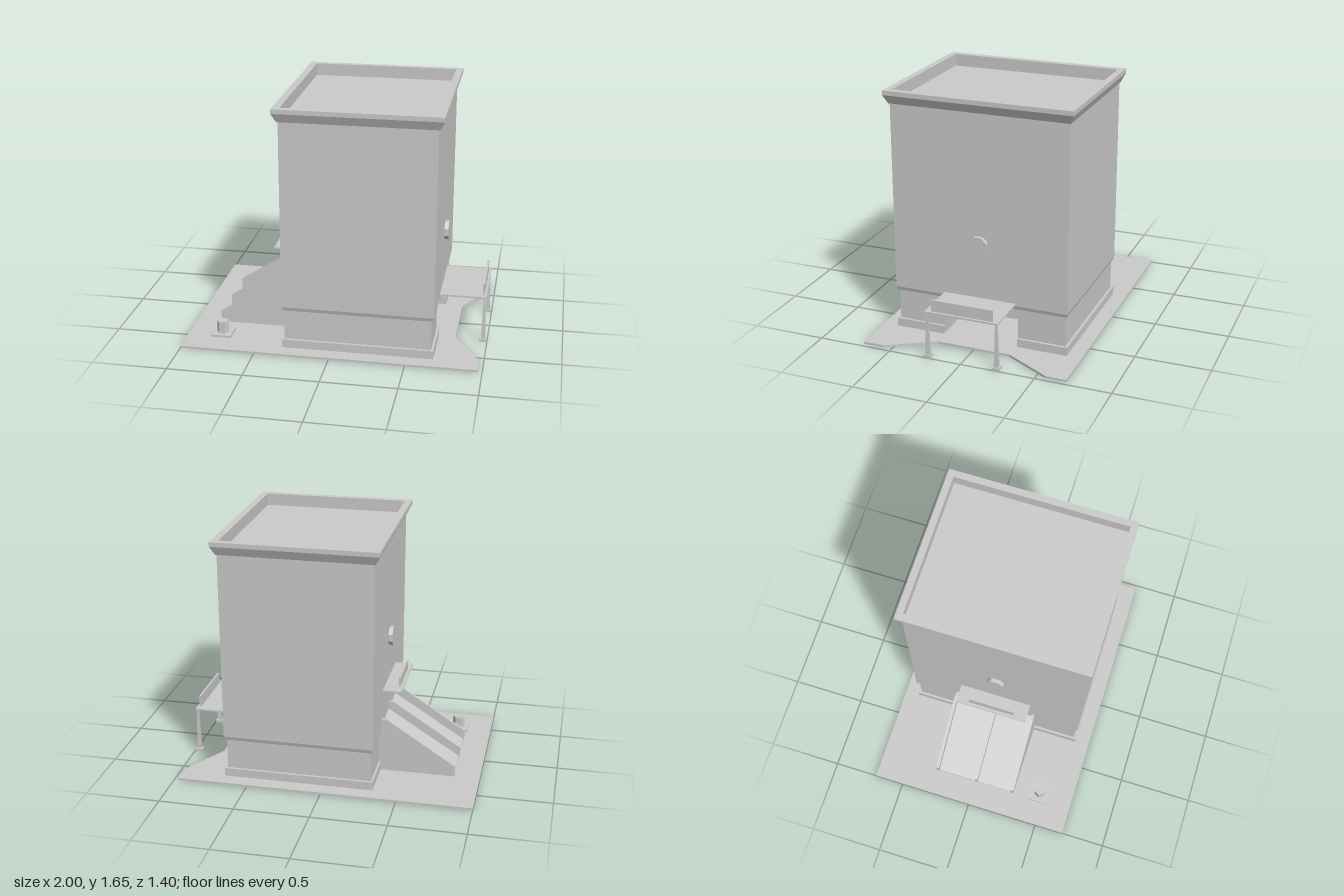
import * as THREE from 'three';

const material = new THREE.MeshStandardMaterial({ color: 0xcccccc, flatShading: true });

function add(parent, name, geometry) {
  const mesh = new THREE.Mesh(geometry, material);
  mesh.name = name;
  parent.add(mesh);
  return mesh;
}

// Box given by its minimum and maximum corners
function box(parent, name, [x0, y0, z0], [x1, y1, z1]) {
  const mesh = add(parent, name, new THREE.BoxGeometry(x1 - x0, y1 - y0, z1 - z0));
  mesh.position.set((x0 + x1) / 2, (y0 + y1) / 2, (z0 + z1) / 2);
  return mesh;
}

function extrude(points, depth) {
  const shape = new THREE.Shape(points.map(([x, y]) => new THREE.Vector2(x, y)));
  return new THREE.ExtrudeGeometry(shape, { depth, bevelEnabled: false });
}

// Floor plan of (x, z) points raised from y0 to y1; plans are symmetric in z
function plan(parent, name, points, y0, y1) {
  const geometry = extrude(points, y1 - y0).rotateX(-Math.PI / 2).translate(0, y0, 0);
  return add(parent, name, geometry);
}

// Side profile of (x, y) points spanning z0 to z1
function profile(parent, name, points, z0, z1) {
  return add(parent, name, extrude(points, z1 - z0).translate(0, 0, z0));
}

// Rectangular rings [x0, x1, half depth, y] joined in order, with capped ends
function loft(parent, name, rings) {
  const positions = [];
  const index = [];
  for (const [x0, x1, z, y] of rings) {
    positions.push(x0, y, z, x1, y, z, x1, y, -z, x0, y, -z);
  }
  for (let r = 0; r < rings.length - 1; r++) {
    for (let i = 0; i < 4; i++) {
      const a = r * 4 + i;
      const b = r * 4 + (i + 1) % 4;
      index.push(a, b, b + 4, a, b + 4, a + 4);
    }
  }
  const t = (rings.length - 1) * 4;
  index.push(0, 2, 1, 0, 3, 2, t, t + 1, t + 2, t, t + 2, t + 3);
  const geometry = new THREE.BufferGeometry();
  geometry.setAttribute('position', new THREE.Float32BufferAttribute(positions, 3));
  geometry.setIndex(index);
  const flat = geometry.toNonIndexed();
  flat.computeVertexNormals();
  return add(parent, name, flat);
}

// Rectangle with an entrance recess in its +x side
function recessedPlan(x0, x1, z) {
  const gap = 0.26, back = 0.3;
  return [[x0, -z], [x1, -z], [x1, -gap], [back, -gap], [back, gap], [x1, gap], [x1, z], [x0, z]];
}

// Octagonal disc with its axis along x
function wallDisc(parent, name, x, y) {
  const radius = 0.06 / Math.cos(Math.PI / 8);
  const geometry = new THREE.CylinderGeometry(radius, radius, 0.03, 8);
  geometry.rotateY(Math.PI / 8).rotateZ(Math.PI / 2);
  add(parent, name, geometry).position.set(x, y, 0);
}

export function createModel() {
  const model = new THREE.Group();
  model.name = 'building';

  // Ground slab with a notch in front of the entrance
  plan(model, 'groundSlab', [
    [-1, -0.7], [0.97, -0.7], [0.97, -0.56], [0.79, -0.25],
    [0.79, 0.25], [0.97, 0.56], [0.97, 0.7], [-1, 0.7],
  ], 0, 0.015);

  // Plinth, ground floor and main body
  plan(model, 'plinth', recessedPlan(-0.33, 0.675, 0.6), 0.015, 0.072);
  plan(model, 'groundFloor', recessedPlan(-0.315, 0.658, 0.582), 0.072, 0.28);
  loft(model, 'mainBody', [
    [-0.322, 0.667, 0.592, 0.28],
    [-0.33, 0.675, 0.6, 0.305],
    [-0.33, 0.675, 0.6, 1.57],
  ]);

  // Flared cornice with a sunken roof
  loft(model, 'corniceAndRoof', [
    [-0.338, 0.683, 0.607, 1.567],
    [-0.368, 0.712, 0.633, 1.625],
    [-0.368, 0.712, 0.633, 1.655],
    [-0.32, 0.665, 0.588, 1.655],
    [-0.32, 0.665, 0.588, 1.572],
  ]);

  // Entrance canopy with its upright board and two tapered posts
  const canopy = new THREE.Group();
  canopy.name = 'entranceCanopy';
  model.add(canopy);
  box(canopy, 'canopyRoof', [0.67, 0.31, -0.25], [0.985, 0.322, 0.25]);
  box(canopy, 'canopyBoard', [0.957, 0.322, -0.21], [0.97, 0.4, 0.21]);
  for (const side of [-1, 1]) {
    const z = side * 0.237;
    const post = new THREE.CylinderGeometry(0.009, 0.02, 0.295, 4).rotateY(Math.PI / 4);
    add(canopy, 'canopyPost', post).position.set(0.972, 0.1625, z);
    box(canopy, 'postFoot', [0.948, 0, z - 0.024], [0.996, 0.018, z + 0.024]);
  }

  // Twin chute between three fins
  const chute = new THREE.Group();
  chute.name = 'chute';
  model.add(chute);
  profile(chute, 'chuteSlope', [[-0.825, 0.015], [-0.31, 0.015], [-0.31, 0.35], [-0.825, 0.025]], -0.28, 0.28);
  for (const z of [-0.285, 0.005, 0.275]) {
    profile(chute, 'chuteFin', [
      [-0.83, 0.015], [-0.31, 0.015], [-0.31, 0.39], [-0.365, 0.39], [-0.83, 0.09],
    ], z - 0.01, z + 0.01);
  }

  // Shelf and board above the chute
  box(model, 'shelf', [-0.455, 0.57, -0.25], [-0.325, 0.58, 0.25]);
  box(model, 'shelfBoard', [-0.434, 0.58, -0.16], [-0.424, 0.645, 0.16]);

  // Octagonal discs on both end walls
  wallDisc(model, 'rightDisc', 0.687, 0.69);
  wallDisc(model, 'leftDisc', -0.342, 0.88);

  // Small hexagonal post on a square pad
  box(model, 'postPad', [-0.838, 0.015, 0.395], [-0.7, 0.03, 0.533]);
  const hexPost = new THREE.CylinderGeometry(0.041, 0.041, 0.08, 6).rotateY(Math.PI / 6);
  add(model, 'hexPost', hexPost).position.set(-0.768, 0.07, 0.465);

  return model;
}
